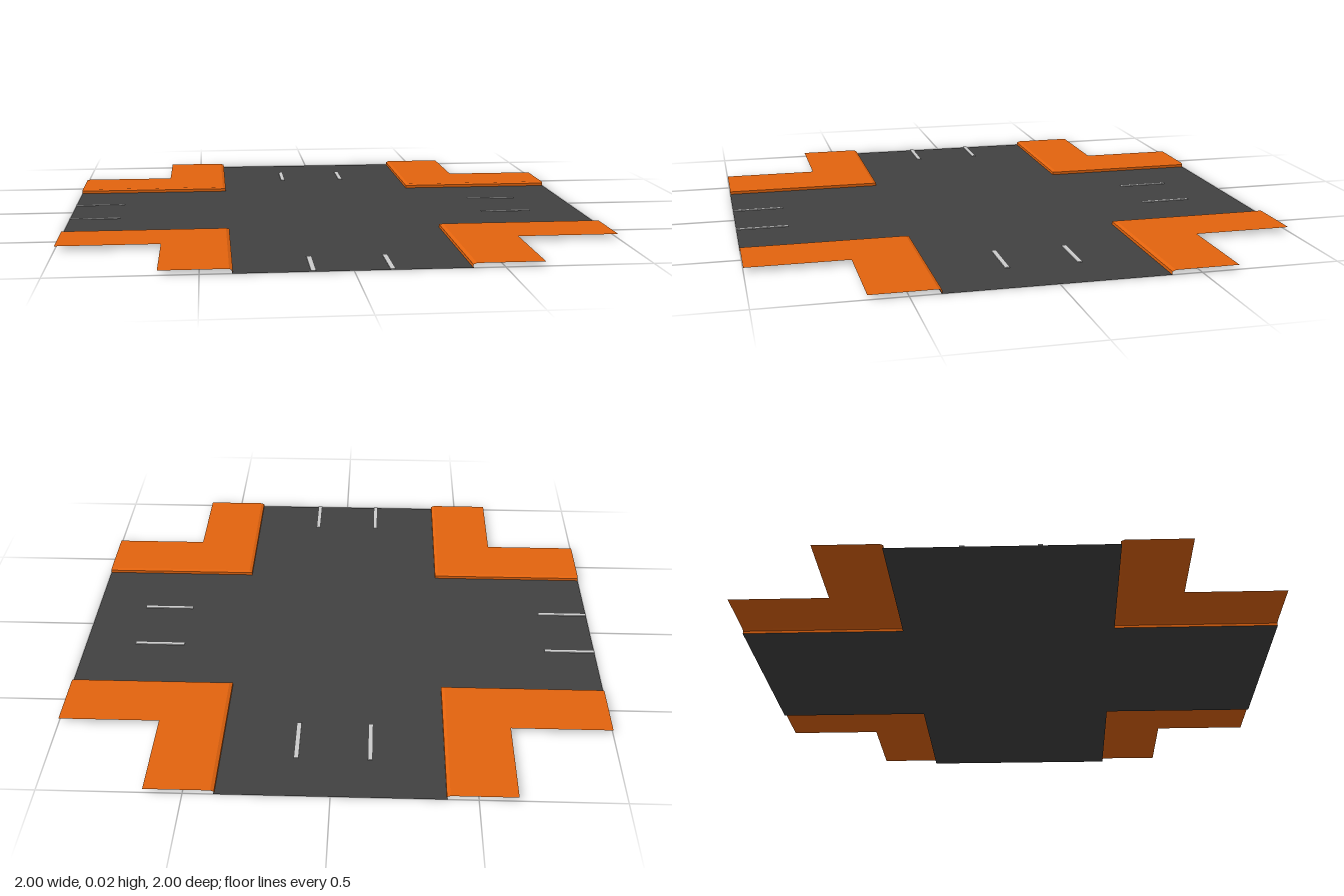
import * as THREE from 'three';

const ROAD = 0.395; // half width of each road

export function createModel() {
  const group = new THREE.Group();
  group.name = 'crossroads';
  const asphalt = new THREE.MeshStandardMaterial({ color: 0x414141, side: THREE.DoubleSide });
  const paving = new THREE.MeshStandardMaterial({ color: 0xe4640e, side: THREE.DoubleSide, flatShading: true });
  const paint = new THREE.MeshStandardMaterial({ color: 0xcccccc });

  // Flat cross-shaped road surface
  const cross = new THREE.Shape();
  const r = ROAD;
  [[r, 1], [r, r], [1, r], [1, -r], [r, -r], [r, -1], [-r, -1], [-r, -r], [-1, -r], [-1, r], [-r, r], [-r, 1]]
    .forEach(([x, y], i) => (i ? cross.lineTo(x, y) : cross.moveTo(x, y)));
  const road = new THREE.Mesh(new THREE.ShapeGeometry(cross).rotateX(-Math.PI / 2), asphalt);
  road.name = 'road';
  group.add(road);

  // Four L-shaped pavements, each a bevelled kerb section swept round the corner
  const pavementGeometry = makePavement();
  for (let i = 0; i < 4; i++) {
    const pavement = new THREE.Mesh(pavementGeometry, paving);
    pavement.name = 'cornerPavement' + (i + 1);
    pavement.rotation.y = i * Math.PI / 2;
    group.add(pavement);
  }

  // Painted lane dashes: a pair on every arm, [centre along the arm, runs along x]
  const dash = new THREE.BoxGeometry(0.017, 0.003, 0.194);
  for (const [along, onX] of [[-0.711, false], [0.903, false], [-0.903, true], [0.708, true]]) {
    for (const across of [-0.132, 0.127]) {
      const mark = new THREE.Mesh(dash, paint);
      mark.name = 'laneMarking';
      mark.position.set(onX ? along : across, 0.003, onX ? across : along);
      if (onX) mark.rotation.y = Math.PI / 2;
      group.add(mark);
    }
  }
  return group;
}

// Open shell: kerb face, bevel and walking surface
function makePavement() {
  const section = [[0.392, 0], [0.392, 0.011], [0.404, 0.016], [0.634, 0.016]];
  const rings = section.map(([d, y]) => [[1, y, d], [d, y, d], [d, y, 1]]);
  const positions = [];
  for (let s = 0; s < rings.length - 1; s++) {
    for (let k = 0; k < 2; k++) {
      const a = rings[s][k], b = rings[s][k + 1], c = rings[s + 1][k + 1], d = rings[s + 1][k];
      positions.push(...a, ...b, ...c, ...a, ...c, ...d);
    }
  }
  const geometry = new THREE.BufferGeometry();
  geometry.setAttribute('position', new THREE.Float32BufferAttribute(positions, 3));
  geometry.computeVertexNormals();
  return geometry;
}
